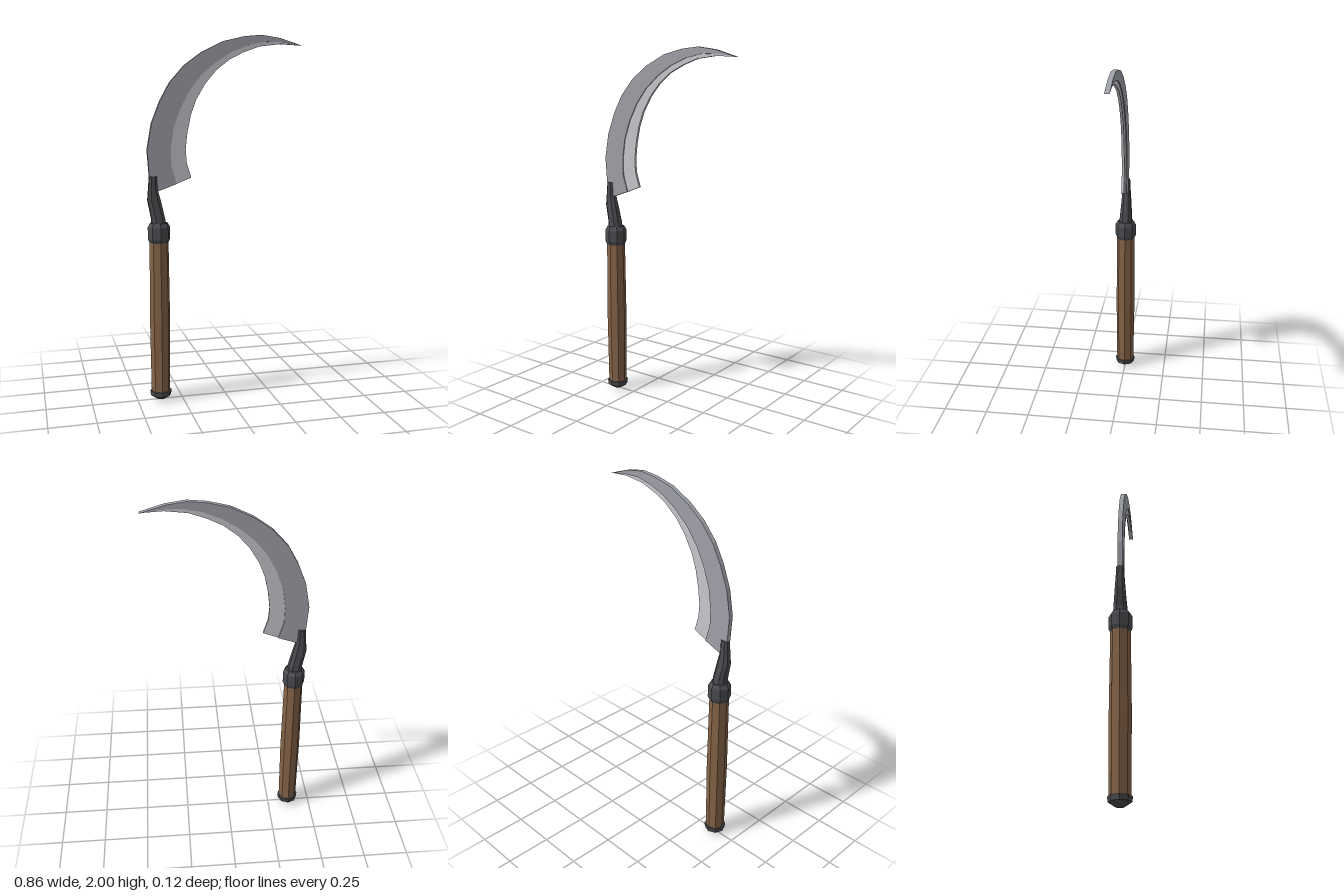
import * as THREE from 'three';

const mat = (name, color) => {
  const m = new THREE.MeshStandardMaterial({ color, flatShading: true });
  m.name = name;
  return m;
};

// Flat plate from an outline, centred on z = 0
function plate(points, depth) {
  const shape = new THREE.Shape(points.map(([x, y]) => new THREE.Vector2(x, y)));
  const g = new THREE.ExtrudeGeometry(shape, { depth, bevelEnabled: false });
  return g.translate(0, 0, -depth / 2);
}

// Eight-sided turned part around the handle axis
function turned(profile) {
  const g = new THREE.LatheGeometry(profile.map(([r, y]) => new THREE.Vector2(r, y)), 8);
  return g.translate(-0.37, 0, 0);
}

// Loft of chamfered box sections: [y, xMin, xMax, halfDepth]
function loft(rings) {
  const corners = [[1, -0.5], [1, 0.5], [0.5, 1], [-0.5, 1], [-1, 0.5], [-1, -0.5], [-0.5, -1], [0.5, -1]];
  const n = corners.length, pos = [], idx = [];
  for (const [y, x0, x1, hz] of rings)
    for (const [u, v] of corners) pos.push((x0 + x1) / 2 + u * (x1 - x0) / 2, y, v * hz);
  for (let i = 0; i < rings.length - 1; i++)
    for (let j = 0; j < n; j++) {
      const a = i * n + j, b = i * n + (j + 1) % n;
      idx.push(a, a + n, b, b, a + n, b + n);
    }
  const top = (rings.length - 1) * n;
  for (let j = 1; j < n - 1; j++) idx.push(0, j, j + 1, top, top + j + 1, top + j);
  const g = new THREE.BufferGeometry();
  g.setAttribute('position', new THREE.Float32BufferAttribute(pos, 3));
  g.setIndex(idx);
  g.computeVertexNormals();
  return g;
}

export function createModel() {
  const steel = mat('blade steel', 0xa0a2aa);
  const honed = mat('honed steel', 0xc8c8ce);
  const iron = mat('dark iron', 0x4b4c50);
  const wood = mat('handle wood', 0x866448);

  const group = new THREE.Group();
  group.name = 'sickle';
  const add = (name, geometry, material) => {
    const mesh = new THREE.Mesh(geometry, material);
    mesh.name = name;
    group.add(mesh);
  };

  // Blade curves, from the base to the tip
  const spine = [[-0.40, 1.16], [-0.42, 1.25], [-0.43, 1.39], [-0.405, 1.53], [-0.36, 1.645], [-0.305, 1.745],
    [-0.225, 1.835], [-0.13, 1.905], [-0.013, 1.963], [0.1, 1.99], [0.2, 2], [0.305, 1.985]];
  const ridge = [[-0.272, 1.206], [-0.3, 1.3], [-0.302, 1.39], [-0.287, 1.5], [-0.25, 1.605], [-0.2, 1.7],
    [-0.135, 1.783], [-0.055, 1.852], [0.034, 1.907], [0.124, 1.943], [0.22, 1.964], [0.325, 1.963]];
  const cutting = [[-0.19, 1.238], [-0.215, 1.32], [-0.22, 1.39], [-0.21, 1.48], [-0.19, 1.575], [-0.16, 1.656],
    [-0.11, 1.74], [-0.05, 1.81], [0.024, 1.868], [0.103, 1.907], [0.193, 1.939], [0.31, 1.953]];
  const tip = [0.43, 1.947];
  const between = (a, b) => [...a, tip, ...b.slice().reverse()];
  add('bladeBody', plate(between(ridge, spine).reverse(), 0.025), steel);
  add('cuttingEdge', plate(between(cutting, ridge), 0.014), honed);

  // Bent tang joining blade and ferrule
  add('tang', loft([
    [0.98, -0.41, -0.333, 0.037],
    [1.02, -0.41, -0.338, 0.035],
    [1.12, -0.43, -0.36, 0.027],
    [1.18, -0.425, -0.376, 0.023],
    [1.25, -0.42, -0.377, 0.02],
  ]), iron);

  // Ferrule, wooden grip and pommel
  add('ferrule', turned([[0, 0.89], [0.053, 0.89], [0.061, 0.91], [0.061, 0.975], [0.048, 0.997], [0, 0.997]]), iron);
  add('handle', turned([[0.052, 0.04], [0.056, 0.45], [0.052, 0.9]]), wood);
  add('pommel', turned([[0, 0], [0.022, 0.003], [0.057, 0.025], [0.06, 0.052], [0, 0.052]]), iron);

  return group;
}
